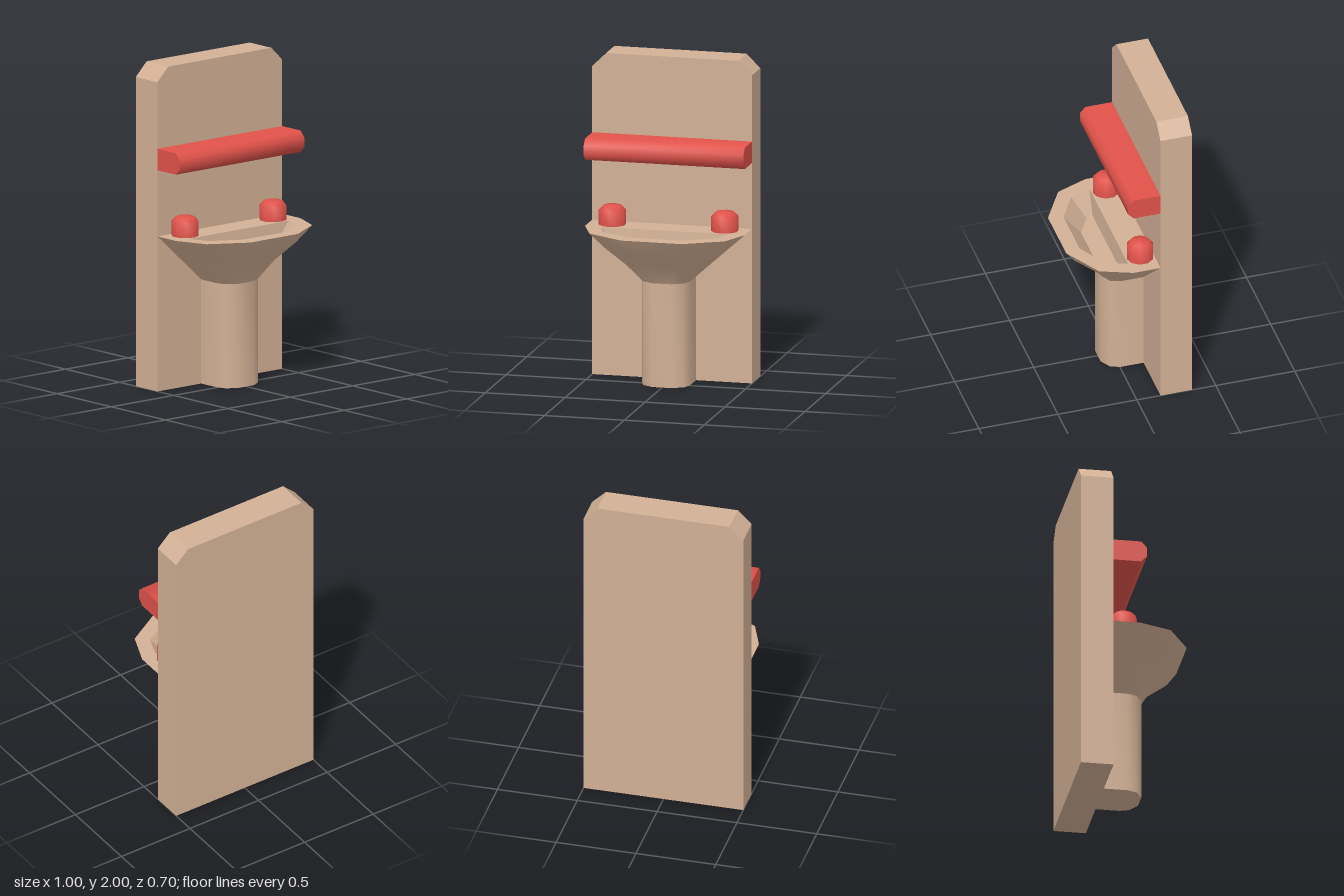
import * as THREE from 'three';
import { toCreasedNormals } from 'three/addons/utils/BufferGeometryUtils.js';

// Mirror a half outline of [x, z] points (back to front) across x = 0
const mirrored = (half) => [...half, ...half.slice().reverse().map(([x, z]) => [-x, z])];

// Flat shape lying in the x/z plane, facing up
const planShape = (pts) => new THREE.Shape(pts.map(([x, z]) => new THREE.Vector2(x, -z)));

// Skin between rings of [x, z] points at given heights
function loft(rings, closed, crease) {
  const n = rings[0].pts.length;
  const pos = [], idx = [];
  rings.forEach(({ y, pts }) => pts.forEach(([x, z]) => pos.push(x, y, z)));
  for (let r = 0; r < rings.length - 1; r++) {
    for (let i = 0; i < (closed ? n : n - 1); i++) {
      const j = (i + 1) % n;
      const a = r * n + i, b = r * n + j, c = a + n, d = b + n;
      idx.push(a, b, c, b, d, c);
    }
  }
  const g = new THREE.BufferGeometry();
  g.setAttribute('position', new THREE.Float32BufferAttribute(pos, 3));
  g.setIndex(idx);
  return toCreasedNormals(g, crease);
}

export function createModel() {
  const group = new THREE.Group();
  const tan = new THREE.MeshStandardMaterial({ color: 0xd2b095 });
  tan.name = 'tan';
  const red = new THREE.MeshStandardMaterial({ color: 0xe0524a });
  red.name = 'red';
  const add = (name, geometry, material) => {
    const mesh = new THREE.Mesh(geometry, material);
    mesh.name = name;
    group.add(mesh);
    return mesh;
  };

  // Back panel with clipped top corners
  const panel = new THREE.Shape([
    [-0.5, 0], [0.5, 0], [0.5, 1.915], [0.413, 2], [-0.413, 2], [-0.5, 1.915],
  ].map(([x, y]) => new THREE.Vector2(x, y)));
  add('backPanel', new THREE.ExtrudeGeometry(panel, { depth: 0.2, bevelEnabled: false }), tan)
    .position.z = -0.35;

  // Shelf with a bevelled, softly shaded front
  const shelf = new THREE.Shape([
    [-0.15, 1.37], [0.02, 1.37], [0.055, 1.407], [0.055, 1.465], [0.02, 1.503], [-0.15, 1.503],
  ].map(([z, y]) => new THREE.Vector2(-z, y)));
  const shelfGeo = new THREE.ExtrudeGeometry(shelf, { depth: 1, bevelEnabled: false });
  shelfGeo.rotateY(Math.PI / 2).translate(-0.5, 0, 0);
  add('shelf', toCreasedNormals(shelfGeo, 1), red);

  // Pedestal
  const foot = [[0.15, -0.15], [0.15, -0.005], [0.128, 0.055], [0.06, 0.095]];
  const pedestal = new THREE.ExtrudeGeometry(planShape(mirrored(foot)), { depth: 0.645, bevelEnabled: false });
  pedestal.rotateX(-Math.PI / 2);
  add('pedestal', toCreasedNormals(pedestal, 1), tan);

  // Basin underside: blends from the rim down to the pedestal outline
  const rim = [[0.5, -0.15], [0.5, 0.02], [0.424, 0.215], [0.19, 0.352]];
  const blend = (tx, tz) => mirrored(rim.map(([x, z], i) => [
    THREE.MathUtils.lerp(foot[i][0], x, tx), THREE.MathUtils.lerp(foot[i][1], z, tz),
  ]));
  add('basinUnderside', loft([
    { y: 0.96, pts: blend(1, 1) },
    { y: 0.86, pts: blend(0.68, 0.74) },
    { y: 0.75, pts: blend(0.33, 0.23) },
    { y: 0.645, pts: blend(0, 0) },
  ], false, 1), tan);

  // Basin rim and tap deck
  const bowlTop = mirrored([[0.4, 0.025], [0.352, 0.155], [0.165, 0.26]]);
  const bowlFloor = mirrored([[0.285, 0.04], [0.27, 0.083], [0.14, 0.157]]);
  const deck = planShape(mirrored(rim));
  deck.holes.push(planShape(bowlTop));
  add('basinRim', new THREE.ShapeGeometry(deck).rotateX(-Math.PI / 2), tan).position.y = 0.96;

  // Bowl hollow
  add('bowlWall', loft([{ y: 0.84, pts: bowlFloor }, { y: 0.96, pts: bowlTop }], true, 0.2), tan);
  add('bowlFloor', new THREE.ShapeGeometry(planShape(bowlFloor)).rotateX(-Math.PI / 2), tan).position.y = 0.84;

  // Taps
  const tapProfile = [[0.083, 0.955], [0.083, 1.05], [0.058, 1.077], [0, 1.084]]
    .map(([r, y]) => new THREE.Vector2(r, y));
  const tapGeo = toCreasedNormals(new THREE.LatheGeometry(tapProfile, 10), 1);
  for (const [name, side] of [['leftTap', 1], ['rightTap', -1]]) {
    add(name, tapGeo, red).position.set(side * 0.352, 0, -0.065);
  }

  return group;
}
